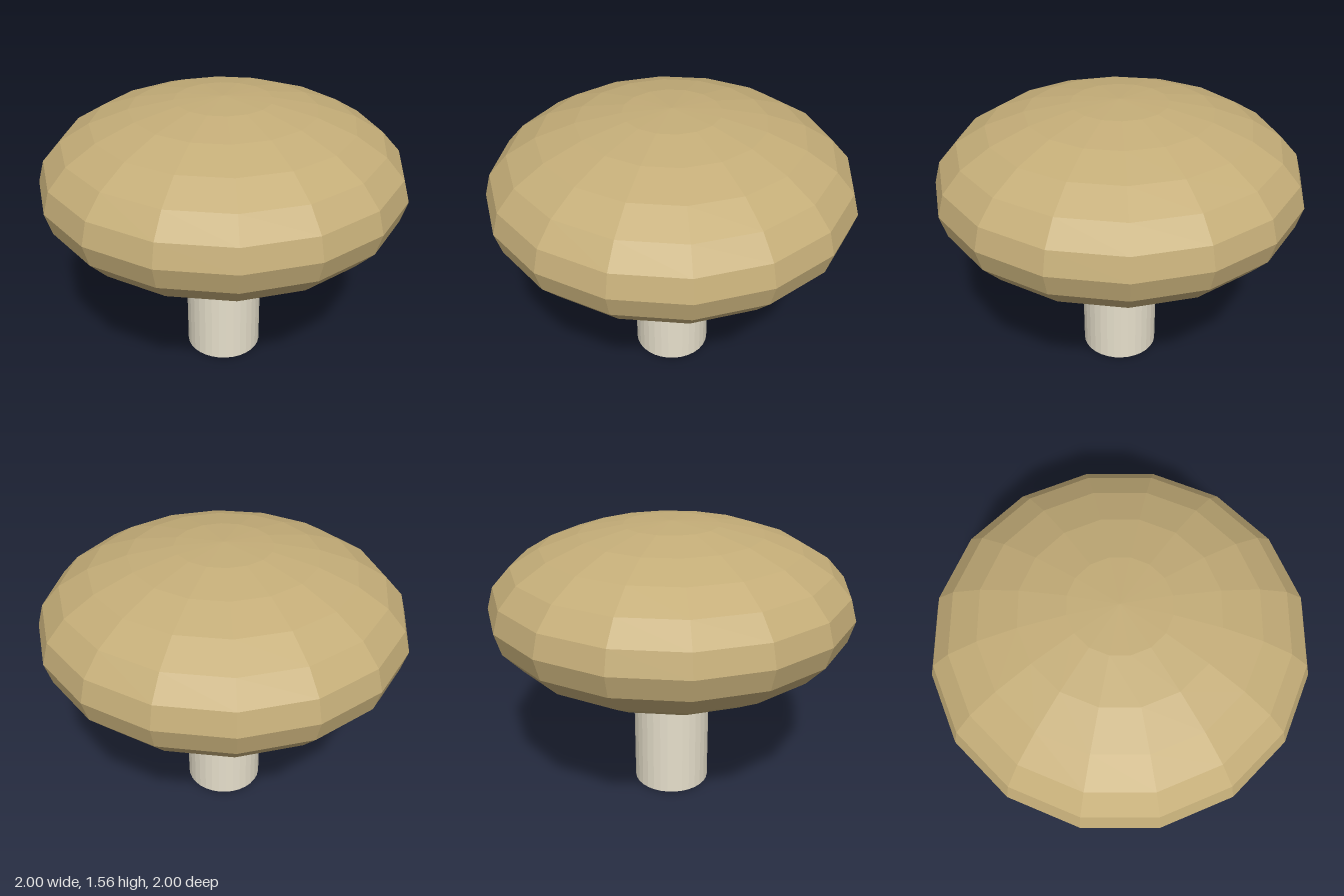
import * as THREE from 'three';

export function createModel() {
  const model = new THREE.Group();
  model.name = 'mushroom';

  const addPart = (name, geometry, color, y) => {
    const material = new THREE.MeshStandardMaterial({ color, flatShading: true });
    const mesh = new THREE.Mesh(geometry, material);
    mesh.name = name;
    mesh.position.y = y;
    model.add(mesh);
    return mesh;
  };

  // Straight stem, its top sunk into the cap
  const stemHeight = 0.87;
  addPart('stem', new THREE.CylinderGeometry(0.217, 0.217, stemHeight, 32), 0xe6dfcb, stemHeight / 2);

  // Faceted cap: a low-poly sphere flattened in height
  const cap = addPart('cap', new THREE.SphereGeometry(1, 16, 12), 0xc4ad78, 1.1);
  cap.scale.y = 0.46;

  return model;
}
